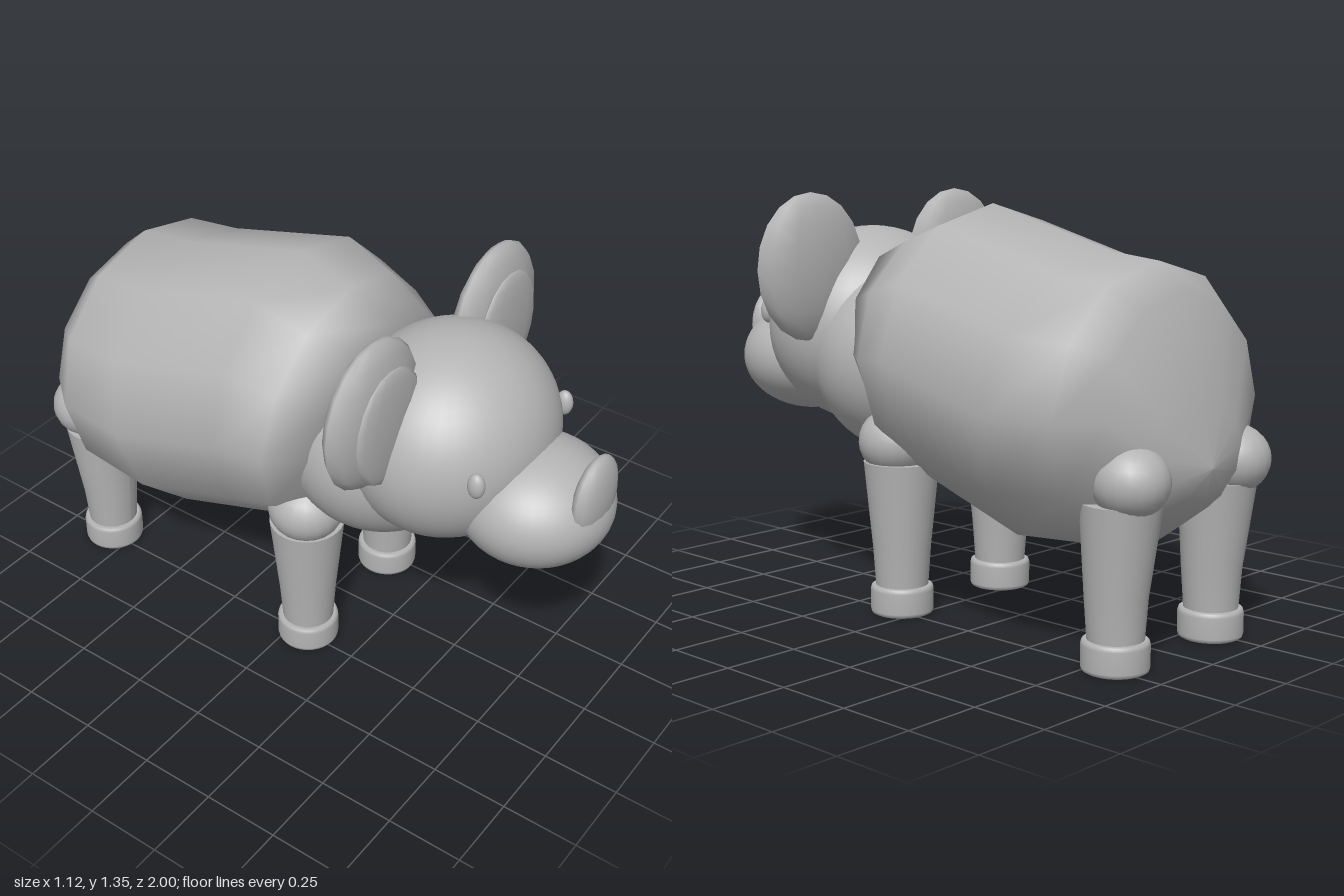
import * as THREE from 'three';

export function createModel() {
  const model = new THREE.Group();
  model.name = 'animal';
  const grey = new THREE.MeshStandardMaterial({ color: 0xb4b4b4 });
  grey.name = 'grey';

  const add = (name, geometry, x = 0, y = 0, z = 0) => {
    const mesh = new THREE.Mesh(geometry, grey);
    mesh.name = name;
    mesh.position.set(x, y, z);
    model.add(mesh);
    return mesh;
  };
  const ellipsoid = (name, [x, y, z], [rx, ry, rz], w = 40, h = 28) =>
    add(name, new THREE.SphereGeometry(1, w, h).scale(rx, ry, rz), x, y, z);

  // Body: slanted oval rings from chest to rump [topZ, topY, bottomZ, bottomY, halfWidth]
  const rings = [
    [0.16, 0.85, 0.16, 0.85, 0],
    [0.23, 1.19, 0.09, 0.50, 0.35],
    [0.06, 1.255, 0.02, 0.435, 0.44],
    [-0.12, 1.32, -0.1, 0.395, 0.485],
    [-0.60, 1.19, -0.44, 0.28, 0.49],
    [-0.78, 1.17, -0.74, 0.30, 0.465],
    [-0.87, 1.09, -0.88, 0.40, 0.37],
    [-0.95, 0.76, -0.96, 0.48, 0.18],
    [-0.985, 0.58, -0.985, 0.58, 0],
  ];
  const sides = 12, positions = [], index = [];
  rings.forEach(([tz, ty, bz, by, w], r) => {
    for (let i = 0; i < sides; i++) {
      const a = (i / sides) * Math.PI * 2, t = (1 - Math.cos(a)) / 2;
      positions.push(w * Math.sin(a), ty + (by - ty) * t, tz + (bz - tz) * t);
      if (r === rings.length - 1) continue;
      const p = r * sides + i, q = r * sides + ((i + 1) % sides);
      if (r > 0) index.push(p, q, p + sides);
      if (r < rings.length - 2) index.push(q, q + sides, p + sides);
      if (r === 0) index.push(q, q + sides, p + sides);
    }
  });
  const body = new THREE.BufferGeometry();
  body.setAttribute('position', new THREE.Float32BufferAttribute(positions, 3));
  body.setIndex(index);
  body.computeVertexNormals();
  add('body', body);

  // Head
  ellipsoid('neck', [0, 0.805, 0.22], [0.365, 0.33, 0.33]);
  ellipsoid('head', [0, 0.897, 0.44], [0.365, 0.335, 0.335]);
  ellipsoid('muzzle', [0, 0.765, 0.75], [0.247, 0.19, 0.247]);
  ellipsoid('nose', [0, 0.86, 0.945], [0.117, 0.14, 0.045], 14, 12);

  // Leg and hoof profiles
  const leg = new THREE.LatheGeometry([
    [0, 0.5], [0.122, 0.5], [0.122, 0.5], [0.094, 0.22], [0.084, 0.08],
  ].reverse().map(([r, y]) => new THREE.Vector2(r, y)), 32);
  const foot = new THREE.LatheGeometry([
    [0, 0], [0.092, 0], [0.099, 0.004], [0.102, 0.014], [0.102, 0.08],
    [0.099, 0.091], [0.092, 0.095], [0, 0.095],
  ].map(([r, y]) => new THREE.Vector2(r, y)), 32);

  // Hind legs lean back towards the hip
  const hindLeg = leg.clone();
  const v = hindLeg.attributes.position;
  for (let i = 0; i < v.count; i++) v.setZ(i, v.getZ(i) - 0.05 * Math.max(0, v.getY(i) - 0.22));
  hindLeg.computeVertexNormals();

  for (const [s, side] of [[1, 'left'], [-1, 'right']]) {
    ellipsoid(side + 'Eye', [s * 0.255, 0.943, 0.69], [0.023, 0.043, 0.028], 20, 14);
    ellipsoid(side + 'Ear', [s * 0.333, 1.11, 0.373], [0.225, 0.242, 0.067], 12, 10);
    ellipsoid(side + 'InnerEar', [s * 0.325, 1.085, 0.43], [0.163, 0.192, 0.026], 12, 10);

    ellipsoid(side + 'Shoulder', [s * 0.25, 0.565, 0.067], [0.12, 0.11, 0.125], 20, 14);
    add(side + 'FrontLeg', leg, s * 0.235, 0, 0.06);
    add(side + 'FrontFoot', foot, s * 0.235, 0, 0.06);

    ellipsoid(side + 'Hip', [s * 0.25, 0.565, -0.88], [0.115, 0.108, 0.118], 20, 14);
    add(side + 'HindLeg', hindLeg, s * 0.235, 0, -0.823);
    add(side + 'HindFoot', foot, s * 0.235, 0, -0.823);
  }
  return model;
}
